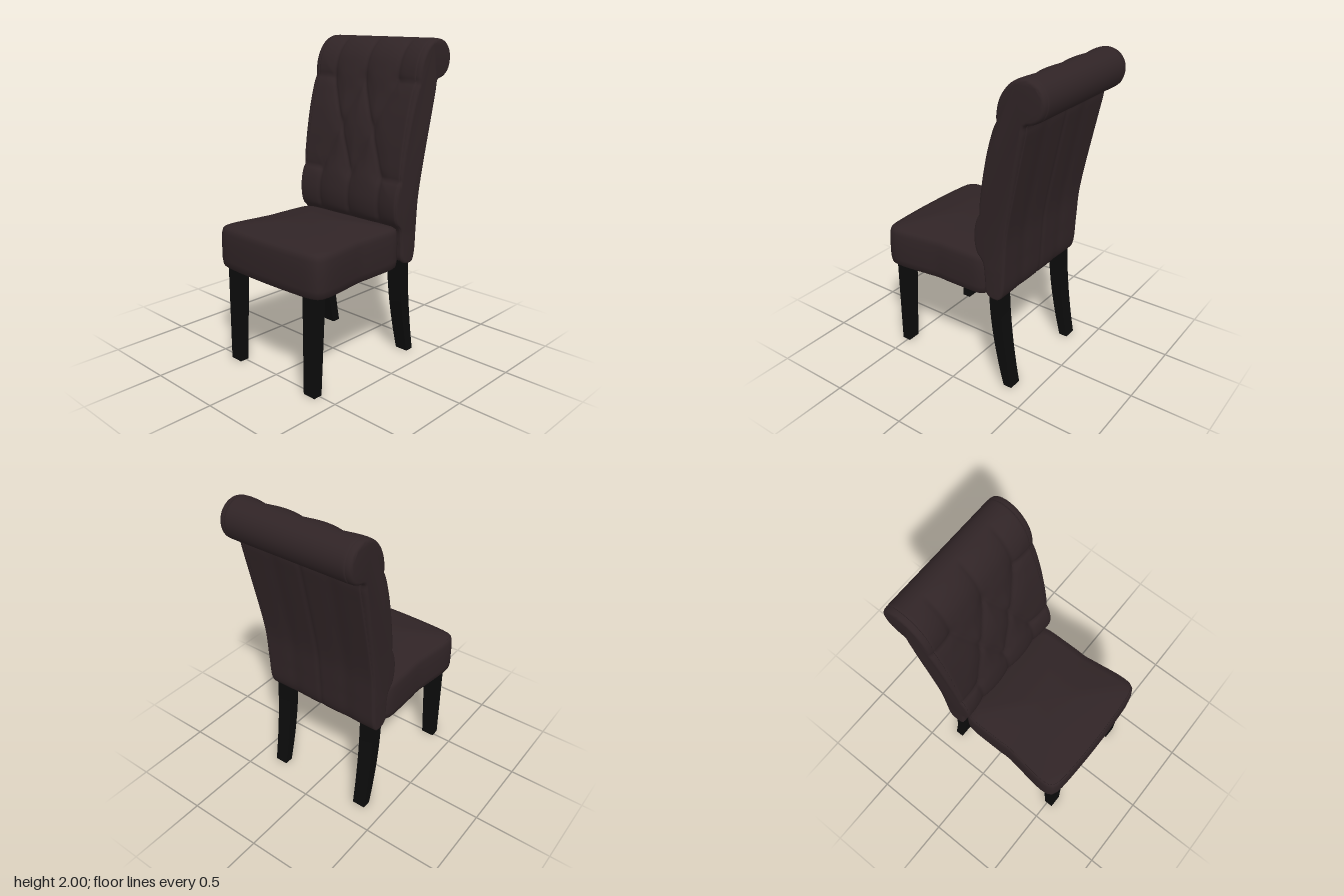
import * as THREE from 'three';
import { toCreasedNormals } from 'three/addons/utils/BufferGeometryUtils.js';

const V = (x, y, z) => new THREE.Vector3(x, y, z);
const smooth = THREE.MathUtils.smoothstep;
const bell = (d, w) => Math.exp(-(d * d) / (w * w));

// Skin a stack of closed rings along 'x' or 'y' and cap both ends.
function loft(rings, axis, crease) {
  const n = rings[0].length, last = (rings.length - 1) * n, index = [];
  for (let i = 0; i < rings.length - 1; i++) {
    for (let j = 0; j < n; j++) {
      const a = i * n + j, b = i * n + (j + 1) % n;
      index.push(a, b, b + n, a, b + n, a + n);
    }
  }
  const cap = (ring, offset, sign) => {
    const flat = ring.map(p => axis === 'x' ? new THREE.Vector2(p.y, p.z) : new THREE.Vector2(p.z, p.x));
    for (const [a, b, c] of THREE.ShapeUtils.triangulateShape(flat, [])) {
      const area = flat[b].clone().sub(flat[a]).cross(flat[c].clone().sub(flat[a]));
      if (area * sign > 0) index.push(offset + a, offset + b, offset + c);
      else index.push(offset + a, offset + c, offset + b);
    }
  };
  cap(rings[0], 0, -1);
  cap(rings[rings.length - 1], last, 1);
  const geo = new THREE.BufferGeometry().setFromPoints(rings.flat());
  geo.setIndex(index);
  return toCreasedNormals(geo, crease);
}

// Tufting seams on the front of the backrest (x, y), mirrored to both sides
const seams = [
  [0.26, 1.75, 0.26, 2.0], [0, 1.75, 0, 2.0], [0.26, 1.75, 0.42, 1.75],
  [0.26, 1.75, 0.13, 1.46], [0, 1.75, 0.13, 1.46], [0.13, 1.46, 0, 1.17],
  [0.13, 1.46, 0.25, 1.17], [0.25, 1.17, 0.42, 1.17], [0.25, 1.17, 0.25, 0.8], [0, 1.17, 0, 0.8],
];
const buttons = [[0, 1.75], [0.26, 1.75], [0.13, 1.46], [0, 1.17], [0.25, 1.17]];

function tuftDepth(x, y) {
  x = Math.abs(x);
  let d = 1, r = 1;
  for (const [x0, y0, x1, y1] of seams) {
    const dx = x1 - x0, dy = y1 - y0;
    const t = THREE.MathUtils.clamp(((x - x0) * dx + (y - y0) * dy) / (dx * dx + dy * dy), 0, 1);
    d = Math.min(d, Math.hypot(x - x0 - t * dx, y - y0 - t * dy));
  }
  for (const [bx, by] of buttons) r = Math.min(r, Math.hypot(x - bx, y - by));
  return 0.008 * bell(d, 0.014) + 0.012 * bell(d, 0.06) + 0.012 * bell(r, 0.045);
}

// Backrest: scrolled side profile swept across the width
function backrestGeometry() {
  const profile = [ // z, y from the lower front, over the scroll, down the back
    [-0.2, 0.66], [-0.19, 0.76], [-0.175, 0.86], [-0.135, 0.91], [-0.118, 1.0], [-0.13, 1.12],
    [-0.162, 1.25], [-0.188, 1.4], [-0.22, 1.55], [-0.25, 1.66], [-0.28, 1.79], [-0.32, 1.9],
    [-0.38, 1.97], [-0.46, 2.0], [-0.53, 1.985], [-0.575, 1.94], [-0.59, 1.875], [-0.565, 1.8],
    [-0.515, 1.765], [-0.468, 1.75], [-0.46, 1.7], [-0.44, 1.6], [-0.41, 1.45], [-0.38, 1.3],
    [-0.352, 1.15], [-0.335, 1.03], [-0.325, 0.85], [-0.312, 0.68], [-0.29, 0.635], [-0.225, 0.635],
  ].map(([z, y]) => V(0, y, z)).reverse();
  const loop = new THREE.CatmullRomCurve3(profile, true).getSpacedPoints(170).slice(0, -1);
  const n = loop.length;
  const normals = loop.map((p, j) => {
    const t = loop[(j + 1) % n].clone().sub(loop[(j + n - 1) % n]).normalize();
    return V(0, t.z, -t.y);
  });
  const ring = (x, inset, puff) => loop.map((p, j) => {
    const o = normals[j];
    const front = smooth(o.z, 0.1, 0.6) * smooth(p.y, 0.84, 0.94);
    const back = smooth(-o.z, 0.5, 0.9) * (1 - smooth(p.y, 1.7, 1.76));
    const d = inset + front * tuftDepth(x, p.y)
      + back * (0.007 * bell(x, 0.014) + 0.006 * bell(Math.abs(x) - 0.2, 0.05));
    const bulge = puff * (0.007 + 0.027 * smooth(p.y, 0.75, 1.9));
    return V(x + Math.sign(x) * bulge, p.y - o.y * d, p.z - o.z * d);
  });
  // Edge seam, then the padded side panel
  const edge = [[0.397, 0.001, 0], [0.401, 0.007, 0], [0.404, 0.001, 0], [0.404, 0.002, 0.4],
    [0.404, 0.006, 0.75], [0.404, 0.012, 0.93], [0.404, 0.02, 1]];
  const rings = [...edge].reverse().map(([x, i, p]) => ring(-x, i, p));
  for (let i = 0; i <= 64; i++) rings.push(ring(-0.39 + 0.78 * i / 64, 0, 0));
  edge.forEach(([x, i, p]) => rings.push(ring(x, i, p)));
  return loft(rings, 'x', 0.9);
}

// Seat outline: rounded rectangle, wider and bowed at the front
function seatRing(s, y) {
  const pts = [], corners = [[1, -1], [1, 1], [-1, 1], [-1, -1]], per = 18;
  for (let k = 0; k < 4; k++) {
    const c = corners[k], e = corners[(k + 1) % 4];
    for (let i = 0; i < per; i++) {
      let a = c[0] + (e[0] - c[0]) * i / per, b = c[1] + (e[1] - c[1]) * i / per;
      const f = Math.pow(Math.abs(a) ** 14 + Math.abs(b) ** 14, -1 / 14);
      a *= f; b *= f;
      const z = 0.2 + a * s * 0.387 - (a > 0 ? 0.018 * a * b * b : 0);
      const w = 0.408 + 0.034 * smooth(z, 0.15, 0.5) - 0.005 * bell(z - 0.18, 0.025);
      pts.push(V(b * s * w, y, z));
    }
  }
  return pts;
}

function seatGeometry() {
  const rings = [[0.84, 0.65], [0.86, 0.624], [0.965, 0.619], [0.988, 0.63], [1, 0.67], [1, 0.78],
    [0.993, 0.84], [0.978, 0.868], [0.966, 0.872], [0.962, 0.869], [0.952, 0.876]]
    .map(([s, y]) => seatRing(s, y));
  for (let i = 1; i <= 12; i++) {
    const t = 1 - i / 12.5; // crowned top
    rings.push(seatRing(0.952 * t, 0.876 + 0.054 * Math.pow(1 - t * t, 1.1)));
  }
  return loft(rings, 'y', 0.9);
}

// Leg sections: y, z back, z front, x inner, x outer
function legGeometry(sections) {
  return loft(sections.map(([y, z0, z1, x0, x1]) =>
    [V(x0, y, z1), V(x1, y, z1), V(x1, y, z0), V(x0, y, z0)]), 'y', 0.4);
}

export function createModel() {
  const material = (name, color) => new THREE.MeshStandardMaterial({ name, color });
  const leather = material('dark brown leather', 0x302426);
  const wood = material('black wood', 0x0c0c0c);
  const cloth = material('olive lining', 0x2e2719);

  const group = new THREE.Group();
  group.name = 'diningChair';
  const add = (name, geo, mat) => {
    const mesh = new THREE.Mesh(geo, mat);
    mesh.name = name;
    group.add(mesh);
    return mesh;
  };

  add('backrest', backrestGeometry(), leather);
  add('seat', seatGeometry(), leather);

  // Recessed lining under the seat
  add('seatLining', new THREE.BoxGeometry(0.67, 0.008, 0.62), cloth).position.set(0, 0.645, 0.2);

  // Legs: tapered in front, swept back behind
  const front = [[0, 0.483, 0.542, 0.288, 0.375], [0.66, 0.455, 0.536, 0.28, 0.384]];
  const rear = [];
  for (let i = 0; i <= 10; i++) {
    const y = 0.66 * i / 10, k = Math.pow(1 - i / 10, 1.7);
    rear.push([y, -0.284 - 0.08 * k, -0.205 - 0.101 * k, 0.28 + 0.008 * k, 0.384 - 0.009 * k]);
  }
  for (const side of [1, -1]) {
    const label = side > 0 ? 'Left' : 'Right';
    const place = s => side > 0 ? s : s.map(([y, z0, z1, x0, x1]) => [y, z0, z1, -x1, -x0]);
    add('frontLeg' + label, legGeometry(place(front)), wood);
    add('rearLeg' + label, legGeometry(place(rear)), wood);
  }
  return group;
}
